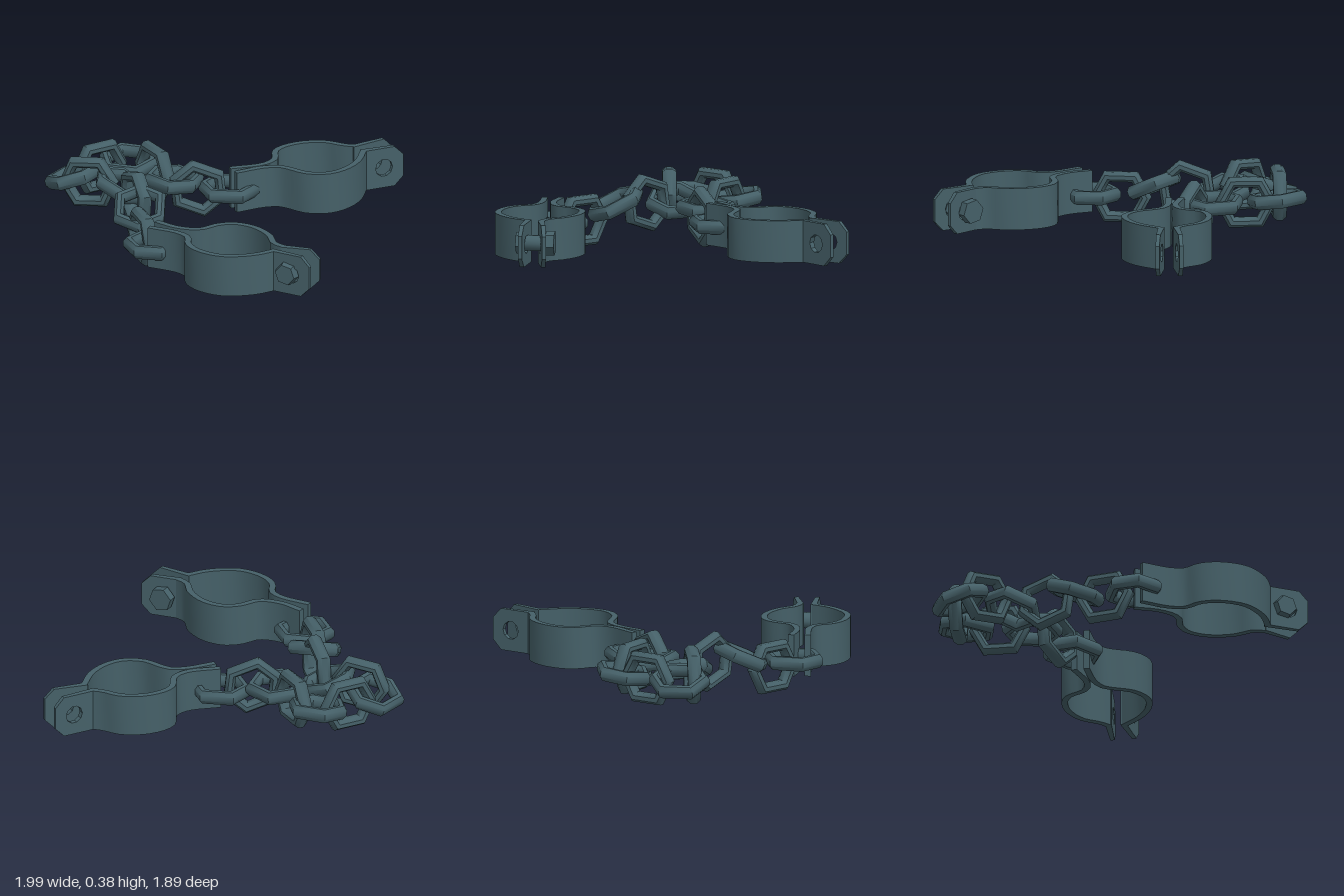
import * as THREE from 'three';
import { toCreasedNormals } from 'three/addons/utils/BufferGeometryUtils.js';

const iron = new THREE.MeshStandardMaterial({ color: 0x456068 });
iron.name = 'dark iron';

const LOW = 0.06, HIGH = 0.3, THICK = 0.036, HOLE = 0.12;
const UP = new THREE.Vector3(0, 1, 0);

function mesh(name, geometry, crease = 0.6) {
  const m = new THREE.Mesh(toCreasedNormals(geometry, crease), iron);
  m.name = name;
  return m;
}

// Chain link: elongated hexagon ring swept with an oval section.
function linkGeometry() {
  const corners = [[0.142, 0], [0.08, 0.115], [-0.08, 0.115], [-0.142, 0], [-0.08, -0.115], [0.08, -0.115]]
    .map(([x, y]) => new THREE.Vector2(x, y));
  const n = corners.length, sides = 8, pos = [], index = [];
  corners.forEach((p, i) => {
    const a = p.clone().sub(corners[(i + n - 1) % n]).normalize();
    const b = corners[(i + 1) % n].clone().sub(p).normalize();
    const miter = new THREE.Vector2(a.y + b.y, -a.x - b.x).normalize();
    const stretch = 1 / (miter.x * a.y - miter.y * a.x);
    for (let j = 0; j < sides; j++) {
      const t = (j + 0.5) / sides * Math.PI * 2;
      const r = 0.03 * Math.cos(t) * stretch;
      pos.push(p.x + miter.x * r, p.y + miter.y * r, 0.042 * Math.sin(t));
      const k = (j + 1) % sides, next = (i + 1) % n;
      const A = i * sides + j, B = next * sides + j, C = next * sides + k, D = i * sides + k;
      index.push(A, B, C, A, C, D);
    }
  });
  const g = new THREE.BufferGeometry();
  g.setAttribute('position', new THREE.Float32BufferAttribute(pos, 3));
  g.setIndex(index);
  return g;
}

// Orient a link by its long direction and the normal of its plane.
function placeLink(m, [centre, dir, normal]) {
  const u = new THREE.Vector3(...dir).normalize();
  const v = new THREE.Vector3(...normal).cross(u).normalize();
  const w = u.clone().cross(v);
  m.matrix.makeBasis(u, v, w).setPosition(...centre);
  m.matrix.decompose(m.position, m.quaternion, m.scale);
}

// Pierced end plate with clipped corners, from the tip to the band.
function plateGeometry(tip, root) {
  const dir = new THREE.Vector3(tip[0] - root[0], 0, tip[1] - root[1]);
  const len = dir.length(), h = (HIGH - LOW) / 2, c = 0.055;
  dir.normalize();
  const s = new THREE.Shape([
    [-0.015, -h], [len - c, -h], [len, -h + c], [len, h - c], [len - c, h], [-0.015, h],
  ].map(([x, y]) => new THREE.Vector2(x, y)));
  const hole = new THREE.Path();
  hole.absarc(len - HOLE, 0, 0.052, 0, Math.PI * 2, true);
  s.holes.push(hole);
  const g = new THREE.ExtrudeGeometry(s, { depth: THICK, bevelEnabled: false, curveSegments: 5 });
  g.translate(0, 0, -THICK / 2);
  // thin the plate towards its tip
  const p = g.attributes.position;
  for (let i = 0; i < p.count; i++) p.setZ(i, p.getZ(i) * (1 - 0.4 * Math.max(0, p.getX(i)) / len));
  const side = dir.clone().cross(UP);
  return g.applyMatrix4(new THREE.Matrix4().makeBasis(dir, UP, side)
    .setPosition(root[0], (LOW + HIGH) / 2, root[1]));
}

// Curved band: plan outline offset to both sides of a path, raised to full height.
function bandGeometry(path) {
  const curve = new THREE.CatmullRomCurve3(path.map(([x, z]) => new THREE.Vector3(x, 0, z)));
  const inner = [], outer = [], steps = 22;
  for (let i = 0; i <= steps; i++) {
    const p = curve.getPointAt(i / steps), t = curve.getTangentAt(i / steps);
    const ox = -t.z * THICK / 2, oz = t.x * THICK / 2;
    outer.push(new THREE.Vector2(p.x + ox, -p.z - oz));
    inner.unshift(new THREE.Vector2(p.x - ox, -p.z + oz));
  }
  const g = new THREE.ExtrudeGeometry(new THREE.Shape([...outer, ...inner]),
    { depth: HIGH - LOW, bevelEnabled: false });
  return g.rotateX(-Math.PI / 2).translate(0, LOW, 0);
}

function cuff(name, halves) {
  const g = new THREE.Group();
  g.name = name;
  halves.forEach(([tip, ...path], i) => {
    const which = i ? 'front' : 'back';
    g.add(mesh(which + 'Band', bandGeometry(path)), mesh(which + 'EndPlate', plateGeometry(tip, path[0])));
  });
  return g;
}

// Bolt with hexagonal head and nut.
function bolt(from, to) {
  const a = new THREE.Vector3(from[0], 0.185, from[1]), b = new THREE.Vector3(to[0], 0.185, to[1]);
  const axis = b.clone().sub(a), len = axis.length();
  const g = new THREE.Group();
  g.name = 'bolt';
  const shaft = mesh('boltShaft', new THREE.CylinderGeometry(0.045, 0.045, len, 10), 0.7);
  const head = mesh('boltHead', new THREE.CylinderGeometry(0.06, 0.072, 0.05, 6), 0.3);
  const nut = mesh('boltNut', new THREE.CylinderGeometry(0.07, 0.07, 0.05, 6), 0.3);
  head.position.y = len / 2;
  nut.position.y = -len / 2;
  g.add(shaft, head, nut);
  g.position.copy(a).add(b).multiplyScalar(0.5);
  g.quaternion.setFromUnitVectors(UP, axis.normalize());
  return g;
}

export function createModel() {
  const model = new THREE.Group();
  model.name = 'shackles';

  // Open cuff at the back
  model.add(cuff('openCuff', [
    [[0.91, -0.94], [0.72, -0.78], [0.66, -0.785], [0.55, -0.82], [0.42, -0.795], [0.32, -0.72],
      [0.285, -0.65], [0.295, -0.53], [0.24, -0.45], [0.06, -0.37]],
    [[0.99, -0.83], [0.78, -0.715], [0.765, -0.56], [0.71, -0.44], [0.62, -0.36], [0.5, -0.35],
      [0.41, -0.395], [0.34, -0.425], [0.25, -0.405], [0.1, -0.31]],
  ]));

  // Bolted cuff at the front
  const closed = cuff('boltedCuff', [
    [[0.71, 0.775], [0.5, 0.745], [0.44, 0.7], [0.4, 0.59], [0.3, 0.48], [0.18, 0.44],
      [0.09, 0.47], [0, 0.545], [-0.13, 0.535], [-0.26, 0.46]],
    [[0.67, 0.905], [0.45, 0.81], [0.37, 0.87], [0.27, 0.91], [0.16, 0.92], [0.03, 0.86],
      [-0.04, 0.77], [-0.055, 0.67], [-0.12, 0.61], [-0.29, 0.55]],
  ]);
  closed.add(bolt([0.585, 0.71], [0.53, 0.87]));
  model.add(closed);

  // Chain: centre, long direction, plane normal
  const links = [
    [[0.055, 0.17, -0.375], [1, 0, 0], [0, 1, 0]],
    [[-0.115, 0.185, -0.325], [0.34, -0.14, -0.07], [0.2, 0, 1]],
    [[-0.26, 0.21, -0.375], [0.25, 0, 0.2], [0.1, 1, 0]],
    [[-0.385, 0.21, -0.51], [0.21, 0, 0.27], [0.27, 0, -0.21]],
    [[-0.545, 0.21, -0.615], [1, 0, 0.2], [0, 1, 0.15]],
    [[-0.7, 0.21, -0.52], [-0.25, 0, 0.2], [0.2, 0, 0.25]],
    [[-0.825, 0.21, -0.37], [-0.15, 0, 0.3], [-0.4, 1, 0]],
    [[-0.73, 0.22, -0.265], [0.3, 0.03, 0.06], [-0.06, 0, 0.3]],
    [[-0.535, 0.21, -0.25], [0.3, -0.12, 0.15], [0.35, 1, 0]],
    [[-0.44, 0.22, -0.07], [0.15, 0.11, 0.27], [0.27, 0, -0.15]],
    [[-0.395, 0.23, 0.12], [0.02, -0.13, 0.28], [0, 1, 0.4]],
    [[-0.355, 0.145, 0.32], [0.13, 0, 0.27], [0.27, 0, -0.13]],
    [[-0.275, 0.16, 0.47], [0.27, 0, -0.42], [0, 1, 0]],
  ];
  const chain = new THREE.Group();
  chain.name = 'chain';
  const geometry = linkGeometry();
  links.forEach((spec, i) => {
    const m = mesh('chainLink' + (i + 1), geometry, 0.9);
    placeLink(m, spec);
    chain.add(m);
  });
  model.add(chain);
  return model;
}
